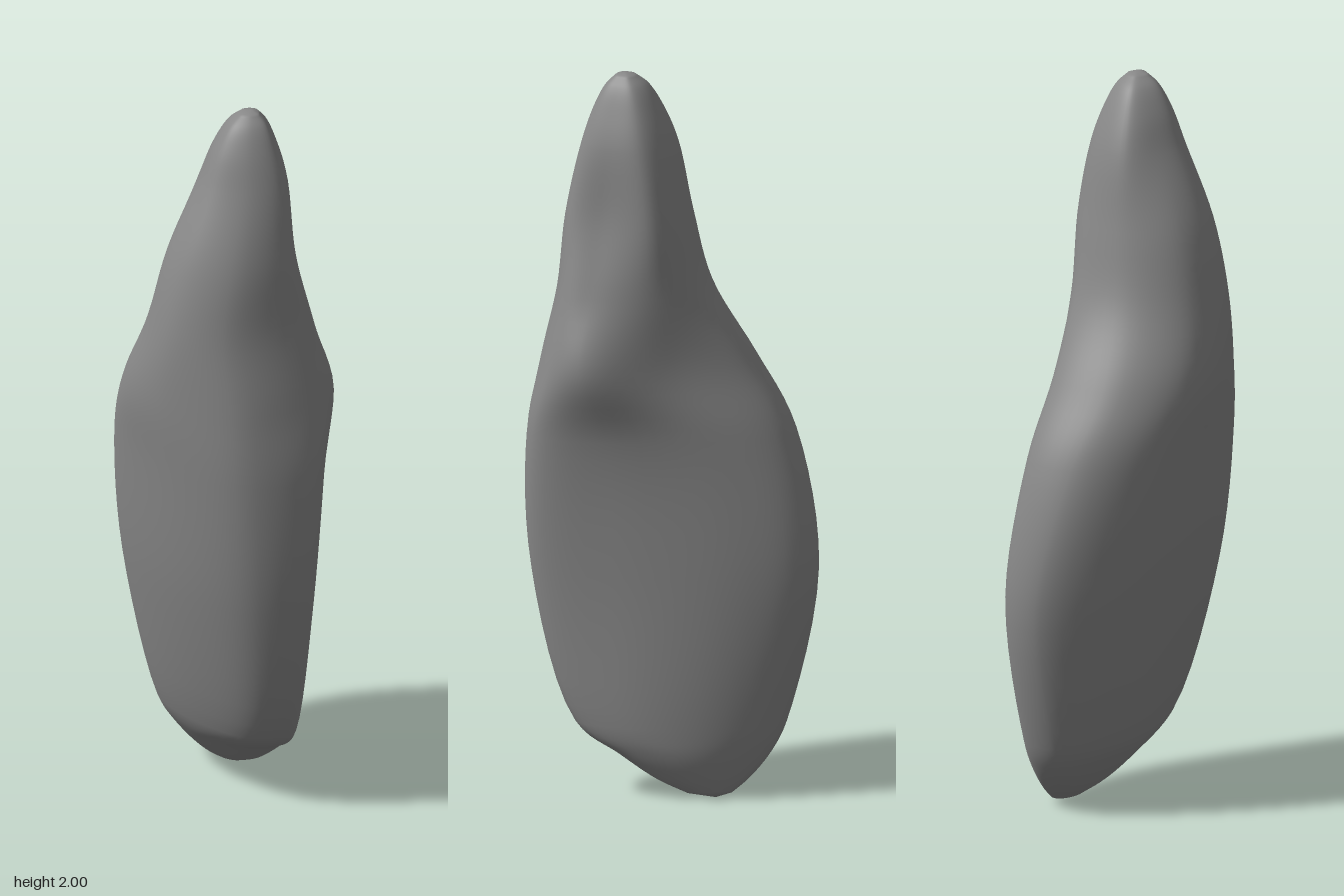
import * as THREE from 'three';

// Cross-sections from bottom to top: height, then eight x,z pairs running
// right edge, front right, front, front left, left, back left, back, back right.
const SECTIONS = [
  [0.12, 0.155, -0.1, 0.11, -0.02, -0.02, 0.015, -0.17, -0.03, -0.255, -0.12, -0.235, -0.195, -0.1, -0.217, 0.06, -0.18],
  [0.2, 0.258, -0.04, 0.2, 0.048, 0.03, 0.072, -0.18, 0.02, -0.297, -0.11, -0.27, -0.205, -0.1, -0.227, 0.14, -0.155],
  [0.62, 0.366, 0.0, 0.285, 0.145, 0.05, 0.185, -0.25, 0.085, -0.388, -0.12, -0.335, -0.237, -0.14, -0.246, 0.18, -0.14],
  [1.0, 0.379, -0.03, 0.295, 0.175, 0.07, 0.236, -0.215, 0.15, -0.338, -0.03, -0.295, -0.185, -0.1, -0.212, 0.2, -0.153],
  [1.2, 0.347, -0.08, 0.275, 0.17, 0.07, 0.252, -0.13, 0.203, -0.241, 0.03, -0.19, -0.15, 0.02, -0.179, 0.27, -0.178],
  [1.4, 0.303, -0.07, 0.232, 0.163, 0.08, 0.242, -0.065, 0.183, -0.13, 0.02, -0.07, -0.135, 0.07, -0.179, 0.232, -0.133],
  [1.6, 0.275, -0.03, 0.222, 0.128, 0.085, 0.199, -0.03, 0.143, -0.075, 0.0, -0.02, -0.125, 0.085, -0.177, 0.195, -0.103],
  [1.8, 0.239, -0.03, 0.198, 0.065, 0.1, 0.117, 0.022, 0.073, -0.03, -0.01, 0.015, -0.105, 0.103, -0.147, 0.182, -0.1],
];
const TIP = new THREE.Vector3(0.12, 2, -0.025);
const FOOT = new THREE.Vector3(-0.095, 0, -0.17);
const ROWS = 72, AROUND = 56;

const toRing = ([y, ...xz]) =>
  Array.from({ length: 8 }, (_, i) => new THREE.Vector3(xz[2 * i], y, xz[2 * i + 1]));

// A section shrunk towards a pole, for the rounded ends
const shrink = (ring, pole, scale, y) =>
  ring.map((p) => pole.clone().lerp(p, scale).setY(y));

function lumpGeometry() {
  const rings = SECTIONS.map(toRing);
  const first = rings[0], last = rings[rings.length - 1];
  rings.unshift(shrink(first, FOOT, 0.3, 0.012), shrink(first, FOOT, 0.61, 0.05));
  rings.push(shrink(last, TIP, 0.72, 1.9), shrink(last, TIP, 0.45, 1.963), shrink(last, TIP, 0.2, 1.993));

  // Smooth curves up the sides, then smooth closed rings across them
  const columns = first.map((_, i) => new THREE.CatmullRomCurve3(rings.map((r) => r[i])));
  const positions = [];
  for (let j = 0; j <= ROWS; j++) {
    const ring = new THREE.CatmullRomCurve3(columns.map((c) => c.getPoint(j / ROWS)), true);
    for (let i = 0; i < AROUND; i++) positions.push(...ring.getPoint(i / AROUND).toArray());
  }
  const foot = positions.length / 3, tip = foot + 1;
  positions.push(...FOOT.toArray(), ...TIP.toArray());

  const index = [];
  for (let i = 0; i < AROUND; i++) {
    const n = (i + 1) % AROUND;
    for (let j = 0; j < ROWS; j++) {
      const a = j * AROUND + i, b = j * AROUND + n;
      index.push(a, a + AROUND, b, b, a + AROUND, b + AROUND);
    }
    index.push(foot, i, n, tip, ROWS * AROUND + n, ROWS * AROUND + i);
  }
  const geometry = new THREE.BufferGeometry();
  geometry.setAttribute('position', new THREE.Float32BufferAttribute(positions, 3));
  geometry.setIndex(index);
  geometry.computeVertexNormals();
  return geometry;
}

export function createModel() {
  const group = new THREE.Group();
  const body = new THREE.Mesh(lumpGeometry(), new THREE.MeshStandardMaterial({ color: 0x888888 }));
  body.name = 'body';
  group.add(body);
  return group;
}
